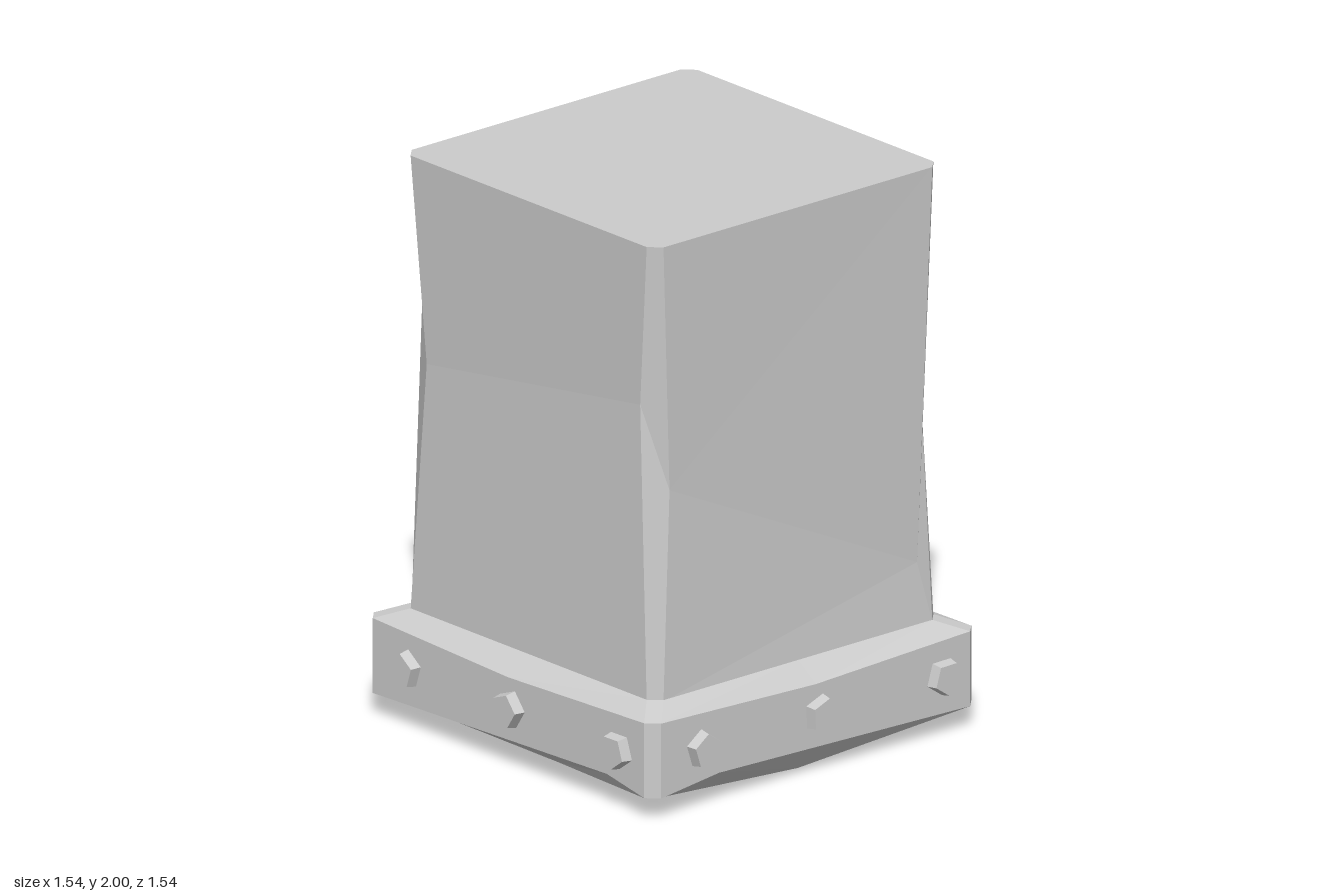
import * as THREE from 'three';

const material = new THREE.MeshStandardMaterial({ color: 0xcccccc, flatShading: true });

// Skin stacked rings (bottom to top, counter-clockwise from above), with optional fan caps
function loft(name, rings, bottomCentre, topCentre) {
  const pos = [];
  const tri = (...pts) => pts.forEach(p => pos.push(...p));
  const n = rings[0].length;
  for (let j = 0; j < n; j++) {
    const k = (j + 1) % n;
    for (let i = 0; i + 1 < rings.length; i++) {
      const lo = rings[i], hi = rings[i + 1];
      tri(lo[j], lo[k], hi[k]);
      tri(lo[j], hi[k], hi[j]);
    }
    if (bottomCentre) tri(bottomCentre, rings[0][k], rings[0][j]);
    if (topCentre) tri(topCentre, rings.at(-1)[j], rings.at(-1)[k]);
  }
  const geo = new THREE.BufferGeometry();
  geo.setAttribute('position', new THREE.Float32BufferAttribute(pos, 3));
  geo.computeVertexNormals();
  const mesh = new THREE.Mesh(geo, material);
  mesh.name = name;
  return mesh;
}

// Square with cut corners: two points per corner
function cutSquare(h, y, cut = 0.04) {
  const c = h - cut;
  return [[c, y, h], [h, y, c], [h, y, -c], [c, y, -h],
    [-c, y, -h], [-h, y, -c], [-h, y, c], [-c, y, h]];
}

// Cut square plus one extra point on each side (right, back, left, front).
// mids holds [offset along the side, y]; cornerY holds the four corner heights.
function bandRing(h, cornerY, mids) {
  const p = cutSquare(h, 0);
  p.forEach((v, i) => { v[1] = cornerY[i >> 1]; });
  const [r, b, l, f] = mids;
  return [p[0], p[1], [h, r[1], r[0]], p[2], p[3], [b[0], b[1], -h],
    p[4], p[5], [-h, l[1], l[0]], p[6], p[7], [f[0], f[1], h]];
}

export function createModel() {
  const model = new THREE.Group();
  model.name = 'pillar';

  // Shaft: each chamfer edge is chipped inward at its own height
  const chipped = [
    [0.55, 1.42, 0.625], [0.625, 1.12, 0.56],
    [0.625, 0.6, -0.545], [0.55, 1.2, -0.625],
    [-0.55, 1.4, -0.625], [-0.625, 1.2, -0.56],
    [-0.625, 1.6, 0.56], [-0.535, 1.27, 0.625],
  ];
  model.add(loft('shaft', [cutSquare(0.64, 0.38), chipped, cutSquare(0.64, 2)], null, [0, 2, 0]));

  // Base band: uneven underside, upright wall and sloping upper bevel
  const all = (v) => [v, v, v, v];
  const underside = bandRing(0.64, [0.04, 0.035, 0.045, 0.045],
    [[0, 0], [0, 0.035], [0, 0.04], [0.15, 0.04]]);
  const wallBottom = bandRing(0.73, all(0.08),
    [[0.43, 0.11], [0.5, 0.1], [-0.43, 0.1], [0.5, 0.115]]);
  const wallTop = bandRing(0.73, all(0.347), all([0, 0.323]));
  const bevelTop = bandRing(0.64, all(0.385), all([0, 0.385]));
  model.add(loft('baseBand', [underside, wallBottom, wallTop, bevelTop], [0, 0.035, 0], null));

  // Five-sided studs, three on each side
  const studGeo = new THREE.CylinderGeometry(0.06, 0.07, 0.05, 5).rotateX(Math.PI / 2);
  const studs = [[-0.51, 90], [0.015, 75], [0.563, 55]];
  ['front', 'left', 'back', 'right'].forEach((side, i) => {
    const row = new THREE.Group();
    row.name = side + 'Studs';
    for (const [x, angle] of studs) {
      const stud = new THREE.Mesh(studGeo, material);
      stud.name = 'stud';
      stud.position.set(x, 0.217, 0.743);
      stud.rotation.z = THREE.MathUtils.degToRad(angle + 90);
      row.add(stud);
    }
    row.rotation.y = i * Math.PI / 2;
    model.add(row);
  });

  return model;
}
